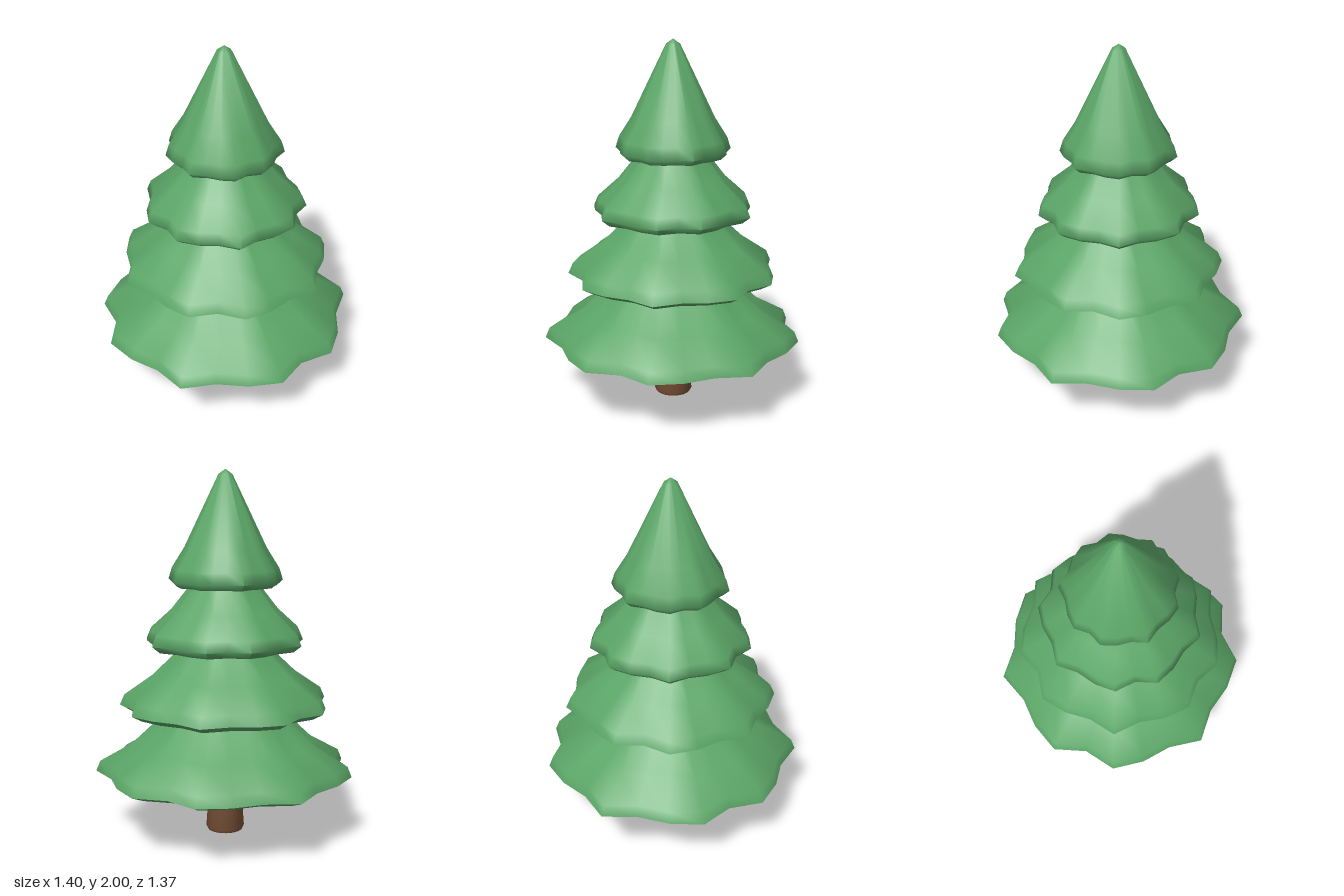
import * as THREE from 'three';
import { toCreasedNormals } from 'three/addons/utils/BufferGeometryUtils.js';

const SIDES = 24;
const LOBES = 9;
const AXIS_X = -0.02;

// Lathe from [radius, height] pairs
function lathe(profile, sides) {
  return new THREE.LatheGeometry(profile.map(([r, y]) => new THREE.Vector2(r, y)), sides);
}

// Skirt of branches whose radius ripples around the axis
function tierGeometry(profile, phase) {
  const geometry = lathe(profile, SIDES);
  const p = geometry.attributes.position;
  for (let i = 0; i < p.count; i++) {
    const x = p.getX(i), z = p.getZ(i);
    const ripple = 1 + 0.0625 * Math.cos(LOBES * Math.atan2(z, x) - phase);
    p.setX(i, x * ripple);
    p.setZ(i, z * ripple);
  }
  return toCreasedNormals(geometry, THREE.MathUtils.degToRad(75));
}

export function createModel() {
  const tree = new THREE.Group();
  tree.name = 'pineTree';

  const foliage = new THREE.MeshStandardMaterial({ name: 'foliageGreen', color: 0x5ba567 });
  const bark = new THREE.MeshStandardMaterial({ name: 'barkBrown', color: 0x775036 });

  // Branch tiers, lowest first: underside, rim, shoulder, cone
  const tiers = [
    [[0, 0.31], [0.6, 0.31], [0.677, 0.343], [0.655, 0.4], [0.487, 0.5], [0.295, 0.69], [0.03, 0.96], [0, 0.98]],
    [[0, 0.687], [0.5, 0.687], [0.557, 0.72], [0.533, 0.777], [0.385, 0.885], [0.22, 1.05], [0.03, 1.28], [0, 1.3]],
    [[0, 1.042], [0.385, 1.042], [0.427, 1.078], [0.405, 1.133], [0.292, 1.24], [0.185, 1.38], [0.03, 1.62], [0, 1.64]],
    [[0, 1.377], [0.268, 1.377], [0.3, 1.408], [0.282, 1.47], [0.216, 1.58], [0.036, 1.973], [0, 2]],
  ];
  tiers.forEach((profile, i) => {
    const tier = new THREE.Mesh(tierGeometry(profile, 0.78 * i), foliage);
    tier.name = `branchTier${i + 1}`;
    tier.position.x = AXIS_X;
    tree.add(tier);
  });

  // Tapered trunk with a softened foot
  const trunk = new THREE.Mesh(
    toCreasedNormals(lathe([[0, 0], [0.097, 0], [0.106, 0.018], [0.085, 0.32], [0, 0.32]], 16), 0.7),
    bark,
  );
  trunk.name = 'trunk';
  trunk.position.x = AXIS_X;
  tree.add(trunk);

  return tree;
}
